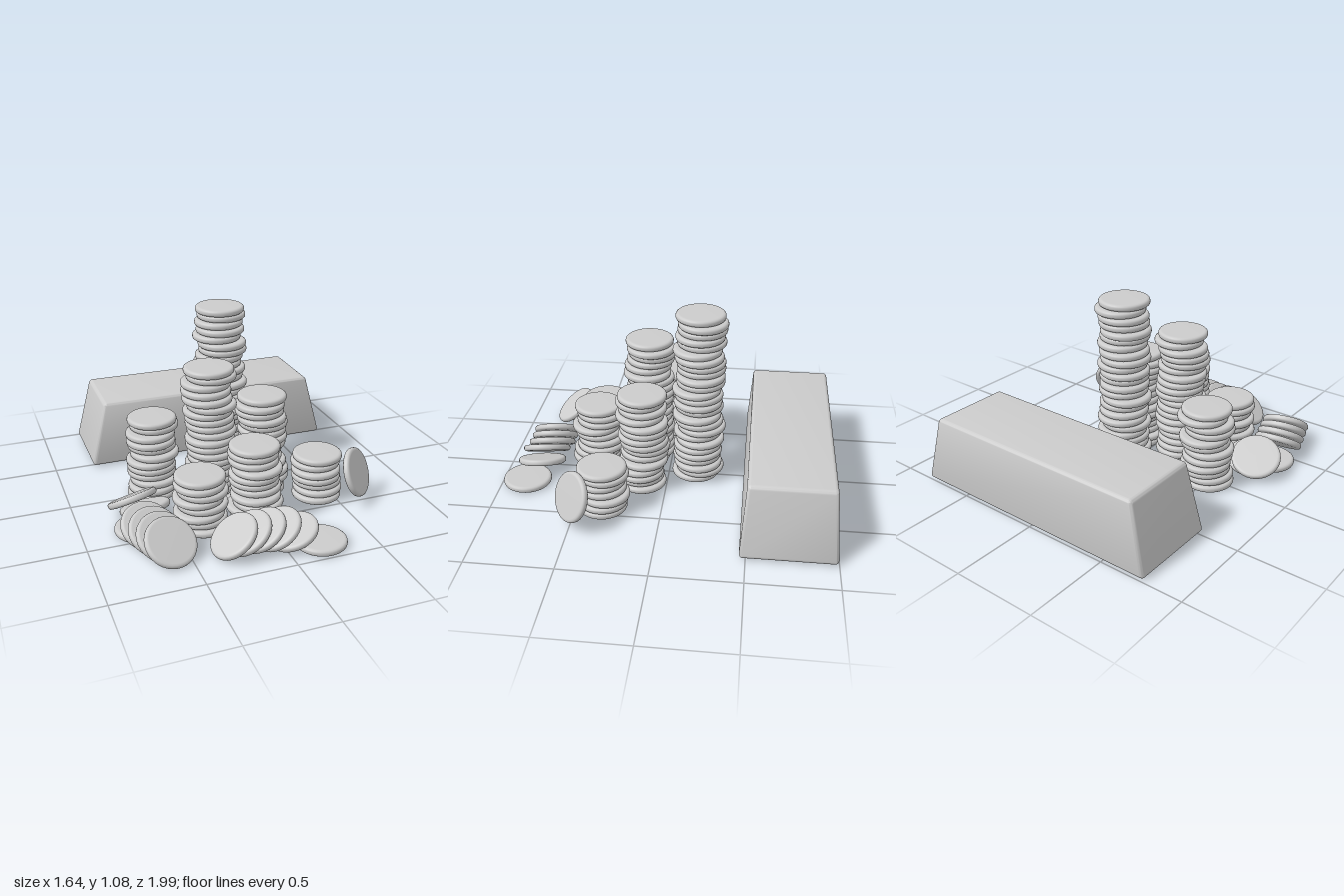
import * as THREE from 'three';
import { RoundedBoxGeometry } from 'three/addons/geometries/RoundedBoxGeometry.js';
import { toCreasedNormals } from 'three/addons/utils/BufferGeometryUtils.js';

const UP = new THREE.Vector3(0, 1, 0);
const PITCH = 0.0415;

// small seeded generator, -1..1
let seed = 7;
function jitter() {
  seed = (seed * 16807) % 2147483647;
  return (seed / 2147483647) * 2 - 1;
}

// coin with a soft rounded rim
function coinGeometry() {
  const profile = [
    [0, -0.0195], [0.125, -0.0195], [0.136, -0.0175], [0.1425, -0.012], [0.145, -0.005],
    [0.145, 0.005], [0.1425, 0.012], [0.136, 0.0175], [0.125, 0.0195], [0, 0.0195],
  ].map(([x, y]) => new THREE.Vector2(x, y));
  return new THREE.LatheGeometry(profile, 40);
}

// rounded block tapered towards its top
function barGeometry() {
  const h = 0.405;
  const geo = new RoundedBoxGeometry(1.59, h, 0.535, 4, 0.022);
  const p = geo.attributes.position;
  for (let i = 0; i < p.count; i++) {
    const t = p.getY(i) / h + 0.5;
    p.setX(i, p.getX(i) * (1 - 0.125 * t));
    p.setZ(i, p.getZ(i) * (1 - 0.11 * t));
  }
  return toCreasedNormals(geo, 0.6);
}

export function createModel() {
  const model = new THREE.Group();
  model.name = 'coinsAndBar';
  const material = new THREE.MeshStandardMaterial({ color: 0xcccccc });
  const coinGeo = coinGeometry();

  function group(name) {
    const g = new THREE.Group();
    g.name = name;
    model.add(g);
    return g;
  }

  function addCoin(parent, pos, normal = [0, 1, 0]) {
    const coin = new THREE.Mesh(coinGeo, material);
    coin.name = 'coin';
    coin.position.set(...pos);
    coin.quaternion.setFromUnitVectors(UP, new THREE.Vector3(...normal).normalize());
    parent.add(coin);
  }

  // ingot behind the coins
  const bar = new THREE.Mesh(barGeometry(), material);
  bar.name = 'bar';
  bar.position.set(0.026, 0.21, -0.731);
  model.add(bar);

  // uneven stacks: x, z, number of coins
  const stacks = [
    [-0.01, -0.18, 26], [-0.19, 0.14, 20], [0.135, 0.145, 15], [-0.485, -0.035, 12],
    [-0.35, 0.445, 8], [-0.025, 0.435, 11], [0.41, 0.345, 7],
  ];
  for (const [x, z, count] of stacks) {
    const stack = group('coinStack');
    for (let i = 0; i < count; i++) {
      const k = i === count - 1 ? 0 : 0.019;
      addCoin(stack, [x + k * jitter(), 0.0205 + i * PITCH, z + k * jitter()]);
    }
  }

  // row in front, toppled over a flat coin
  const row = group('frontFallenCoins');
  addCoin(row, [0.2, 0.0205, 0.85]);
  addCoin(row, [0.06, 0.07, 0.79], [-0.37, 0.93, 0.06]);
  [[-0.03, 0.78], [-0.11, 0.765], [-0.19, 0.765], [-0.27, 0.77]].forEach(([x, z], i) =>
    addCoin(row, [x, 0.1, z], [-0.52 - 0.03 * i, 0.8, 0.08]));

  // curved row at the side, leaning both ways off a flat coin
  const fan = group('sideFallenCoins');
  addCoin(fan, [-0.68, 0.0205, 0.39]);
  addCoin(fan, [-0.62, 0.075, 0.265], [-0.1, 0.92, -0.32]);
  addCoin(fan, [-0.68, 0.115, 0.215], [-0.2, 0.86, -0.46]);
  for (let i = 0; i < 4; i++) {
    addCoin(fan, [-0.67 + 0.023 * i, 0.094 + 0.003 * i, 0.5 + 0.073 * i],
      [0.08 + 0.03 * i, 0.78, 0.55 + 0.025 * i]);
  }

  // single coin propped against the short stack
  addCoin(group('leaningCoin'), [0.6, 0.185, 0.485], [0.63, 0.36, 0.68]);

  return model;
}
